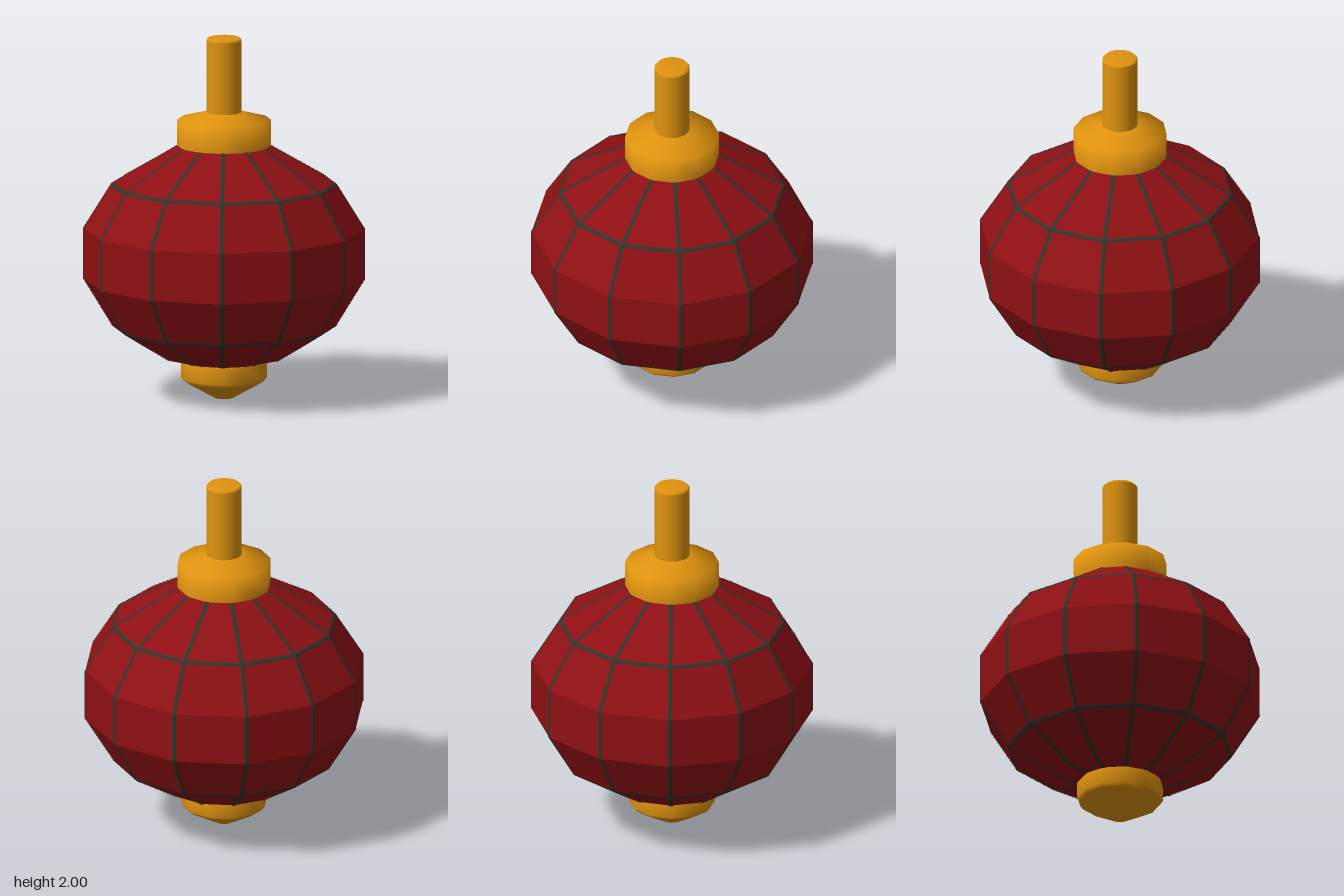
import * as THREE from 'three';

const SIDES = 12;
const RIB = 0.011; // half width of the ribs
const LIFT = 0.003; // ribs stand this far off the paper

// Lantern outline, bottom to top: [radius, height]
const OUTLINE = [[0.22, 0.205], [0.34, 0.235], [0.61, 0.4], [0.768, 0.66], [0.768, 0.94], [0.613, 1.19], [0.25, 1.402]];

const red = new THREE.MeshStandardMaterial({ color: 0x8e1013 });
red.name = 'lantern red';
const gold = new THREE.MeshStandardMaterial({ color: 0xe0930f });
gold.name = 'gold';
const dark = new THREE.MeshStandardMaterial({ color: 0x2c352b });
dark.name = 'dark green';

function lathe(points, sides) {
  return new THREE.LatheGeometry(points.map(([r, y]) => new THREE.Vector2(r, y)), sides);
}

function addMesh(group, name, geometry, material) {
  const mesh = new THREE.Mesh(geometry, material);
  mesh.name = name;
  group.add(mesh);
  return mesh;
}

// Corner of the faceted body, lifted slightly outward
function corner(side, level) {
  const a = (side / SIDES) * Math.PI * 2;
  const [r, y] = OUTLINE[level];
  const flat = level < 2 ? -LIFT : level === OUTLINE.length - 1 ? LIFT : 0;
  return new THREE.Vector3((r + LIFT) * Math.sin(a), y + flat, (r + LIFT) * Math.cos(a));
}

// Point a fixed distance from one corner towards another
function towards(from, to) {
  return from.clone().add(to.clone().sub(from).setLength(RIB));
}

function quadsGeometry(quads) {
  const points = quads.flatMap(([a, b, c, d]) => [a, b, c, a, c, d]);
  const geometry = new THREE.BufferGeometry().setFromPoints(points);
  geometry.computeVertexNormals();
  return geometry;
}

// Upright ribs, folded over every vertical edge
function uprightRibs() {
  const quads = [];
  for (let s = 0; s < SIDES; s++) {
    for (let l = 0; l < OUTLINE.length - 1; l++) {
      const low = corner(s, l), high = corner(s, l + 1);
      const lowL = towards(low, corner(s - 1, l)), highL = towards(high, corner(s - 1, l + 1));
      const lowR = towards(low, corner(s + 1, l)), highR = towards(high, corner(s + 1, l + 1));
      quads.push([lowL, low, high, highL], [low, lowR, highR, high]);
    }
  }
  return quadsGeometry(quads);
}

// A horizontal rib folded over one ring of edges
function hoop(level) {
  const quads = [];
  for (let s = 0; s < SIDES; s++) {
    const a = corner(s, level), b = corner(s + 1, level);
    const aLow = towards(a, corner(s, level - 1)), bLow = towards(b, corner(s + 1, level - 1));
    const aHigh = towards(a, corner(s, level + 1)), bHigh = towards(b, corner(s + 1, level + 1));
    quads.push([aLow, bLow, b, a], [a, b, bHigh, aHigh]);
  }
  return quadsGeometry(quads);
}

export function createModel() {
  const model = new THREE.Group();
  model.name = 'lantern';

  // Faceted paper body
  const body = lathe(OUTLINE, SIDES).toNonIndexed();
  body.computeVertexNormals();
  addMesh(model, 'body', body, red);

  // Frame
  addMesh(model, 'uprightRibs', uprightRibs(), dark);
  addMesh(model, 'lowerHoop', hoop(2), dark);
  addMesh(model, 'upperHoop', hoop(5), dark);

  // Cap with a sloping top
  addMesh(model, 'cap', lathe([[0.2, 1.4], [0.256, 1.4], [0.256, 1.402], [0.256, 1.545], [0.09, 1.59]], SIDES), gold);

  // Hanging rod with a softened end
  addMesh(model, 'rod', lathe([[0.096, 1.57], [0.096, 1.985], [0.096, 1.988], [0.086, 2], [0, 2]], 24), gold);

  // Tapered foot
  addMesh(model, 'foot', lathe([[0, 0], [0.05, 0], [0.22, 0.095], [0.236, 0.115], [0.236, 0.2], [0.225, 0.215]], SIDES), gold);

  return model;
}
